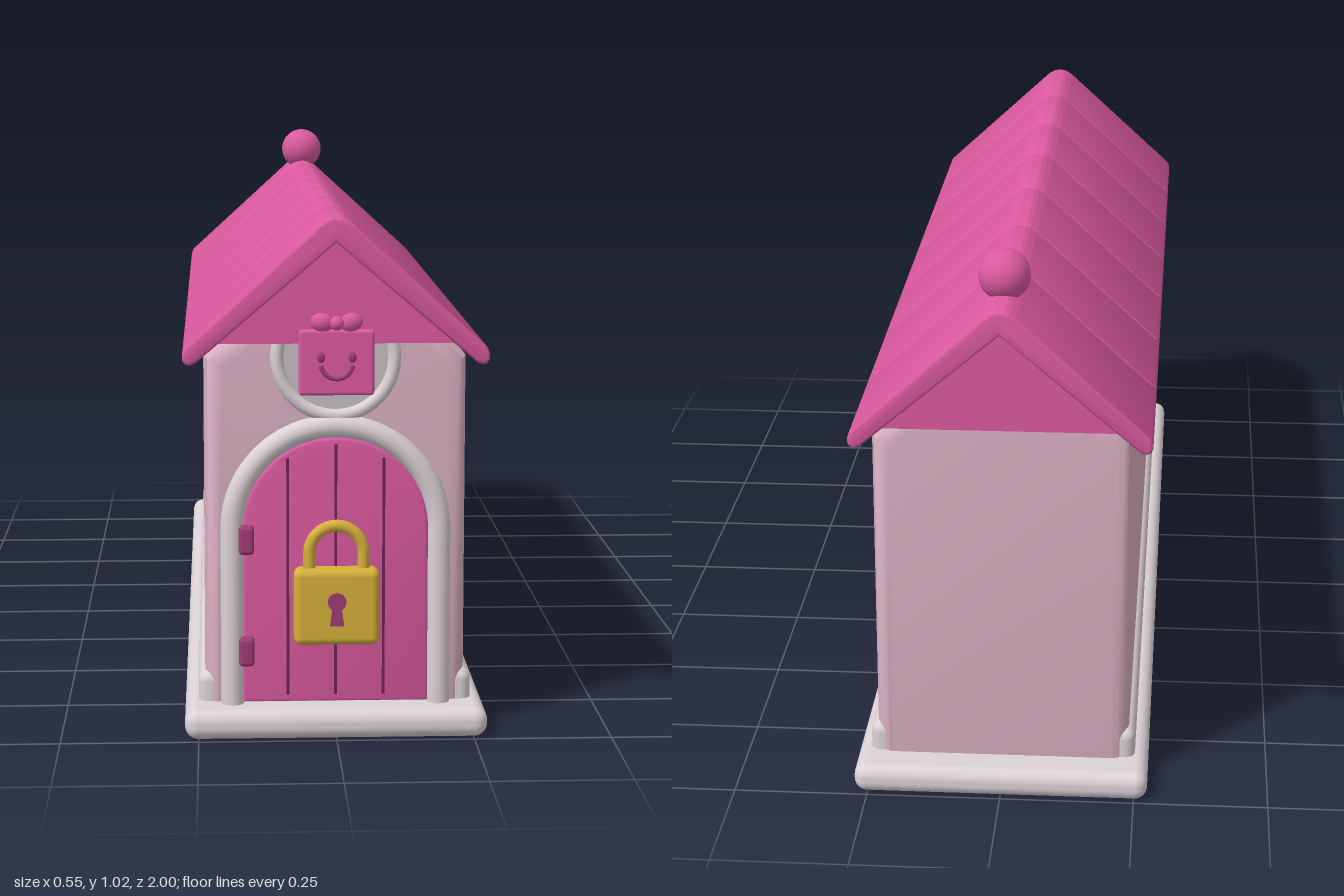
import * as THREE from 'three';
import { toCreasedNormals } from 'three/addons/utils/BufferGeometryUtils.js';
import { RoundedBoxGeometry } from 'three/addons/geometries/RoundedBoxGeometry.js';

const paint = (name, color) => {
  const m = new THREE.MeshStandardMaterial({ color });
  m.name = name;
  return m;
};

export function createModel() {
  const pink = paint('roof pink', 0xdc5aa0);
  const darkPink = paint('dark pink', 0xa03c74);
  const groove = paint('groove plum', 0x6e2450);
  const wallPink = paint('pale wall pink', 0xd9afc1);
  const trim = paint('trim grey', 0xdcd2d7);
  const pane = paint('pane grey', 0xc8c0c5);
  const gold = paint('gold', 0xd6b03c);

  const house = new THREE.Group();
  house.name = 'longHouse';

  const add = (name, geo, mat, x = 0, y = 0, z = 0, parent = house) => {
    const mesh = new THREE.Mesh(geo, mat);
    mesh.name = name;
    mesh.position.set(x, y, z);
    parent.add(mesh);
    return mesh;
  };
  const box = (w, h, d, r) => new RoundedBoxGeometry(w, h, d, 4, r);
  // Symmetric outline from its right half, listed bottom to top
  const mirrored = (half) => new THREE.Shape([
    ...half.map(([x, y]) => new THREE.Vector2(x, y)),
    ...half.filter(([x]) => x > 0).reverse().map(([x, y]) => new THREE.Vector2(-x, y)),
  ]);
  // Extrusion centred on z = 0, total depth includes an inward bevel
  const extrude = (shape, depth, bevel, segs = 3) => {
    const g = new THREE.ExtrudeGeometry(shape, {
      depth: depth - 2 * bevel, bevelEnabled: bevel > 0, bevelThickness: bevel,
      bevelSize: bevel, bevelOffset: -bevel, bevelSegments: segs, curveSegments: 24,
    });
    g.translate(0, 0, -depth / 2 + bevel);
    return toCreasedNormals(g, 0.6);
  };

  // Plinth and side skirtings
  add('plinth', box(0.55, 0.055, 2, 0.024), trim, 0, 0.0275, 0);
  for (const s of [-1, 1]) {
    add('skirting', box(0.045, 0.075, 1.85, 0.02), trim, s * 0.2275, 0.0725, 0);
  }

  // Walls with rounded corners
  add('walls', extrude(mirrored([[0.238, 0.01], [0.238, 0.69], [0.2, 0.725], [0.1, 0.8]]), 1.86, 0.035, 5), wallPink);

  // Roof: seven bevelled chevron sections with a rounded ridge and eaves
  const roof = new THREE.Shape();
  roof.moveTo(0, 0.9);
  roof.lineTo(0.25, 0.687);
  roof.quadraticCurveTo(0.262, 0.678, 0.271, 0.684);
  roof.quadraticCurveTo(0.281, 0.695, 0.27, 0.713);
  roof.lineTo(0.035, 0.928);
  roof.quadraticCurveTo(0, 0.962, -0.035, 0.928);
  roof.lineTo(-0.27, 0.713);
  roof.quadraticCurveTo(-0.281, 0.695, -0.271, 0.684);
  roof.quadraticCurveTo(-0.262, 0.678, -0.25, 0.687);
  roof.closePath();
  const section = extrude(roof, 0.275, 0.006);
  for (let i = 0; i < 7; i++) add('roofSection', section, pink, 0, 0, 0.8275 - 0.275 * i);
  add('gableFill', extrude(mirrored([[0.218, 0.72], [0, 0.91]]), 1.915, 0), pink, 0, 0, 0.0025);
  add('finial', new THREE.SphereGeometry(0.048, 32, 20), pink, 0, 0.973, -0.825);

  // Arched door
  const arch = new THREE.Shape();
  arch.moveTo(-0.168, 0.058);
  arch.lineTo(0.168, 0.058);
  arch.lineTo(0.168, 0.379);
  arch.absarc(0, 0.379, 0.168, 0, Math.PI, false);
  arch.closePath();
  add('door', extrude(arch, 0.03, 0.005), pink, 0, 0, 0.929);
  for (const [x, top] of [[-0.087, 0.51], [0, 0.535], [0.087, 0.51]]) {
    add('doorGroove', new THREE.BoxGeometry(0.005, top - 0.072, 0.003), groove, x, (top + 0.072) / 2, 0.9445);
  }
  for (const y of [0.155, 0.362]) {
    add('hinge', box(0.028, 0.052, 0.03, 0.007), darkPink, -0.162, y, 0.95);
  }

  // Tubular arch: straight legs joined by a half ring
  const archTube = (name, r, tube, bottom, cy, z, mat, parent) => {
    add(name, new THREE.TorusGeometry(r, tube, 16, 48, Math.PI), mat, 0, cy, z, parent);
    for (const s of [-1, 1]) {
      add(name, new THREE.CylinderGeometry(tube, tube, cy - bottom, 16), mat, s * r, (cy + bottom) / 2, z, parent);
    }
  };
  archTube('doorFrame', 0.188, 0.021, 0.045, 0.379, 0.936, trim, house);

  // Padlock
  const lock = new THREE.Group();
  lock.name = 'padlock';
  house.add(lock);
  add('lockBody', box(0.154, 0.14, 0.048, 0.014), gold, 0, 0.245, 0.974, lock);
  archTube('shackle', 0.049, 0.011, 0.3, 0.342, 0.972, gold, lock);
  const hole = add('keyholeTop', new THREE.CylinderGeometry(0.017, 0.017, 0.004, 24), darkPink, 0, 0.256, 0.9975, lock);
  hole.rotation.x = Math.PI / 2;
  add('keyholeSlot', extrude(mirrored([[0.013, 0.212], [0.007, 0.255]]), 0.004, 0), darkPink, 0, 0, 0.9975, lock);

  // Round window
  const disc = add('windowPane', new THREE.CylinderGeometry(0.1, 0.1, 0.02, 48), pane, 0, 0.692, 0.926);
  disc.rotation.x = Math.PI / 2;
  add('windowRing', new THREE.TorusGeometry(0.106, 0.012, 14, 56), trim, 0, 0.692, 0.936);

  // Smiling square badge with a bow
  const badge = new THREE.Group();
  badge.name = 'badge';
  house.add(badge);
  add('badgePlate', box(0.135, 0.118, 0.035, 0.006), pink, 0, 0.687, 0.957, badge);
  const smile = add('smile', new THREE.TorusGeometry(0.029, 0.004, 8, 24, Math.PI * 0.9), darkPink, 0, 0.687, 0.9745, badge);
  smile.rotation.z = Math.PI * 1.05;
  for (const s of [-1, 1]) {
    const eye = add('eye', new THREE.SphereGeometry(0.008, 16, 12), darkPink, s * 0.028, 0.697, 0.975, badge);
    eye.scale.set(0.9, 1.2, 0.5);
    const loop = add('bowLoop', new THREE.SphereGeometry(0.02, 20, 14), pink, s * 0.026, 0.759, 0.968, badge);
    loop.scale.set(1.05, 0.85, 0.7);
    loop.rotation.z = s * 0.2;
  }
  add('bowKnot', new THREE.SphereGeometry(0.013, 20, 14), pink, 0, 0.758, 0.974, badge);

  return house;
}
